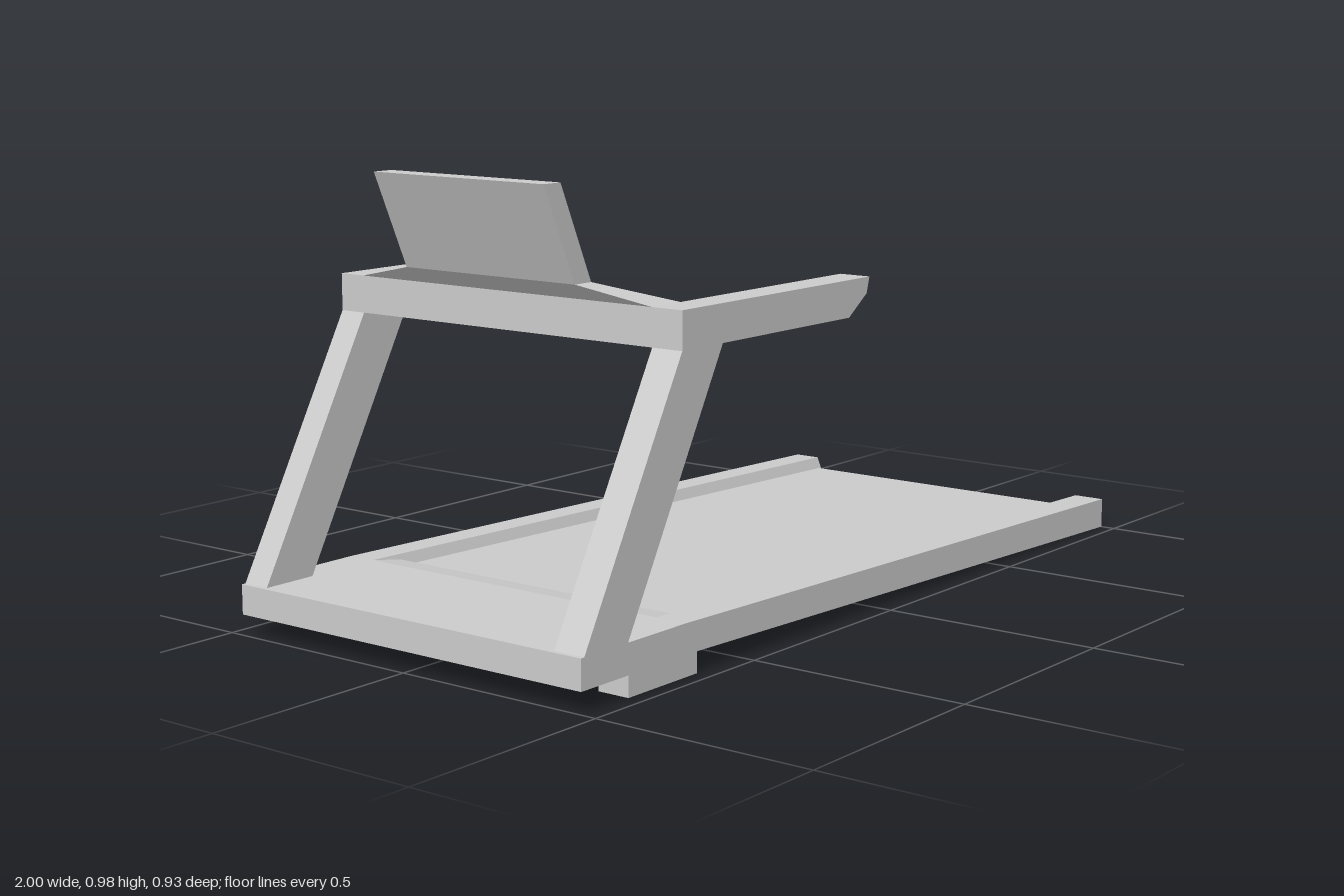
import * as THREE from 'three';
import { ConvexGeometry } from 'three/addons/geometries/ConvexGeometry.js';

const material = new THREE.MeshStandardMaterial({ color: 0xcccccc, flatShading: true });
const OUT = 0.465;                 // outer half width
const inner = { 1: 0.39, '-1': -0.4 }; // inner faces of the side members

export function createModel() {
  const group = new THREE.Group();
  group.name = 'treadmill';

  const add = (name, geometry) => {
    const mesh = new THREE.Mesh(geometry, material);
    mesh.name = name;
    group.add(mesh);
    return mesh;
  };
  const polygon = (pts) => new THREE.Shape(pts.map(([x, y]) => new THREE.Vector2(x, y)));
  // Side profile (x, y) swept between two z positions
  const sweep = (name, pts, z0, z1) => {
    const geo = new THREE.ExtrudeGeometry(polygon(pts), { depth: Math.abs(z1 - z0), bevelEnabled: false });
    return add(name, geo.translate(0, 0, Math.min(z0, z1)));
  };
  // Solid spanned by a few corner points
  const hull = (name, pts) => add(name, new ConvexGeometry(pts.map((p) => new THREE.Vector3(...p))));

  // Base pan with the raised motor cover at its head
  sweep('base', [
    [-1, 0.045], [-0.64, 0.045], [1, 0], [1, 0.03],
    [-0.6, 0.07], [-0.6, 0.097], [-0.68, 0.11], [-1, 0.11],
  ], -OUT, OUT);

  // Running belt
  sweep('belt', [[-0.6, 0.06], [0.985, 0.02], [0.985, 0.045], [-0.6, 0.085]], -0.385, 0.375);

  for (const s of [1, -1]) {
    const z = inner[s];
    const side = s > 0 ? 'left' : 'right';

    // Deck rail, its inner face sloping down to the belt
    hull(side + 'Rail', [[-0.68, 0.07, 0.11], [1, 0.03, 0.07]].flatMap(([x, low, top]) => [
      [x, low, s * OUT], [x, top, s * OUT], [x, top, z],
      [x, top - 0.015, z], [x, top - 0.03, z - s * 0.013], [x, low, z - s * 0.013],
    ]));

    // Upright and handrail in one bent profile
    sweep(side + 'UprightAndHandrail', [
      [-0.99, 0.11], [-0.86, 0.11], [-0.56, 0.655], [-0.12, 0.655],
      [-0.055, 0.7], [-0.045, 0.735], [-0.69, 0.735], [-0.69, 0.655],
    ], z, s * OUT);

    // Foot block
    sweep(side + 'Foot', [[-0.86, 0], [-0.645, 0], [-0.645, 0.046], [-0.86, 0.046]], z, s * OUT);
  }

  // Crossbar between the handrails
  sweep('crossbar', [[-0.69, 0.655], [-0.6, 0.655], [-0.6, 0.735], [-0.69, 0.735]], inner[-1], inner[1]);

  // Tapered console neck
  hull('consoleNeck', [
    ...[inner[-1], inner[1]].flatMap((z) => [[-0.69, 0.735, z], [-0.6, 0.735, z]]),
    ...[-0.232, 0.227].flatMap((z) => [[-0.73, 0.77, z], [-0.68, 0.77, z]]),
  ]);

  // Leaning console: a backing slab and a frame around the sunken screen
  const rect = (z0, z1, y0, y1) => [[-z1, y0], [-z0, y0], [-z0, y1], [-z1, y1]];
  const leaning = (name, shape, x, depth) => {
    const geo = new THREE.ExtrudeGeometry(shape, { depth, bevelEnabled: false });
    geo.rotateY(Math.PI / 2).translate(x, 0, 0);
    const p = geo.attributes.position;
    for (let i = 0; i < p.count; i++) p.setX(i, p.getX(i) - 0.44 * (p.getY(i) - 0.77));
    geo.computeVertexNormals();
    add(name, geo);
  };
  const outline = rect(-0.232, 0.227, 0.77, 0.975);
  const frame = polygon(outline);
  frame.holes.push(polygon(rect(-0.207, 0.2, 0.782, 0.963)));
  leaning('consoleBack', polygon(outline), -0.73, 0.038);
  leaning('screenFrame', frame, -0.692, 0.012);

  return group;
}
